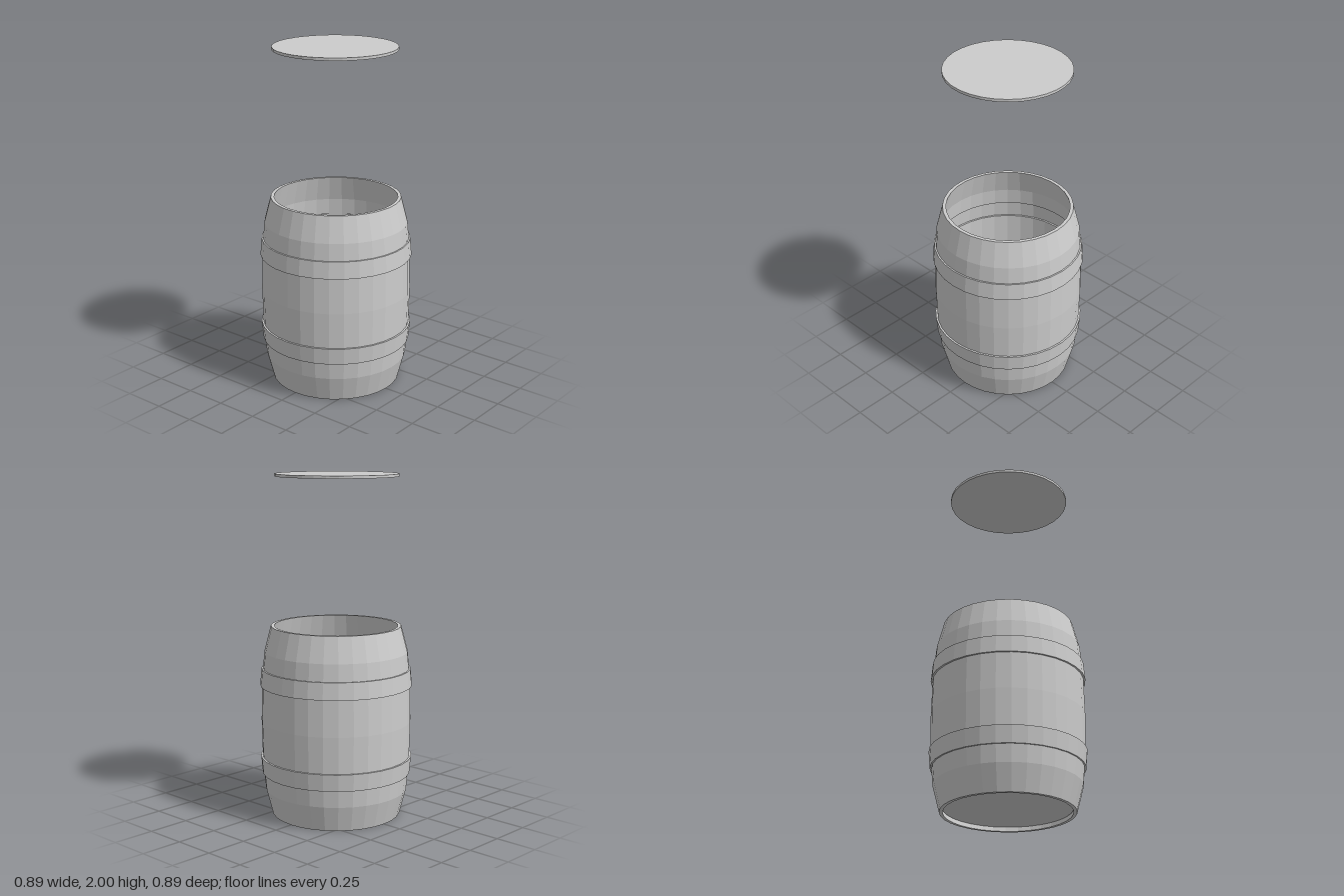
import * as THREE from 'three';

const SIDES = 32;
const WALL = 0.02;
const material = new THREE.MeshStandardMaterial({ color: 0xcccccc, flatShading: true });

function addPart(group, name, geometry) {
  const flat = geometry.toNonIndexed();
  flat.computeVertexNormals();
  const mesh = new THREE.Mesh(flat, material);
  mesh.name = name;
  group.add(mesh);
  return mesh;
}

export function createModel() {
  const model = new THREE.Group();
  model.name = 'barrel';

  // Lower half of the outer profile as [radius, y]; the hoop is a stepped-out strip
  const half = [
    [0.38, 0], [0.419, 0.15], [0.428, 0.25], [0.437, 0.25],
    [0.446, 0.35], [0.435, 0.35], [0.44, 0.5625],
  ];
  const mirrored = half.slice(0, -1).reverse().map(([r, y]) => [r, 1.125 - y]);
  const outer = [...half, ...mirrored];

  // Hollow wall: up the outside, across the rim, down the inside, closed at the base
  const inner = outer.map(([r, y]) => [r - WALL, y]).reverse();
  const profile = [...outer, ...inner, outer[0]].map(([r, y]) => new THREE.Vector2(r, y));
  addPart(model, 'barrelWall', new THREE.LatheGeometry(profile, SIDES));

  // Floor set slightly above the lower rim
  const floor = addPart(model, 'floor', new THREE.CylinderGeometry(0.363, 0.363, 0.016, SIDES));
  floor.position.y = 0.034;

  // Lid hovering above the open top
  const lid = addPart(model, 'lid', new THREE.CylinderGeometry(0.357, 0.357, 0.016, SIDES));
  lid.position.set(-0.004, 1.992, -0.002);

  return model;
}
